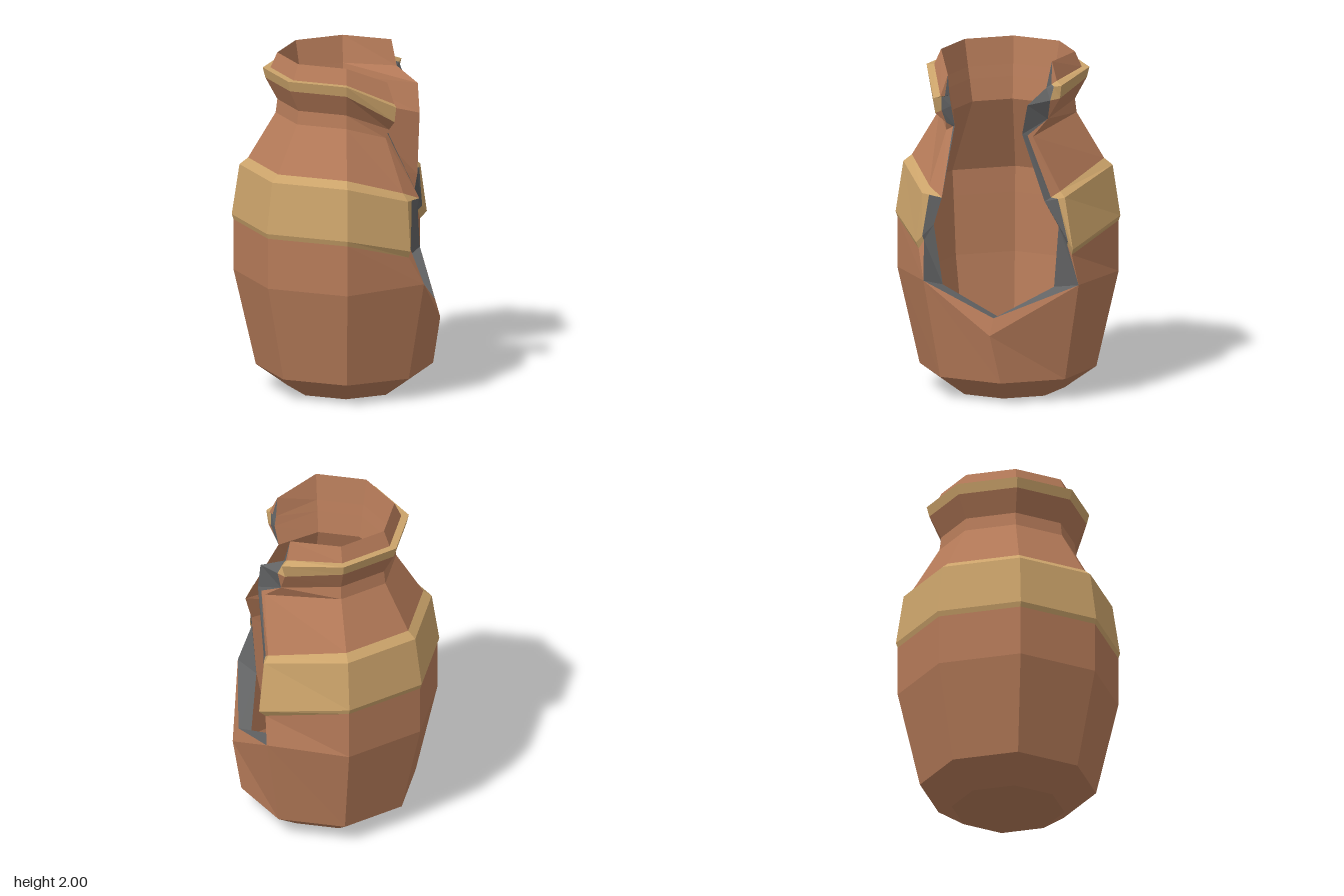
import * as THREE from 'three';

const CX = 0.05; // axis of the pot

// Point on an octagonal ring: k counts eighths of a turn from +x towards +z
const ringPoint = (r, y, k) => {
  const a = (k * Math.PI) / 4;
  return [CX + r * Math.cos(a), y, r * Math.sin(a)];
};
const mix = (a, b, t) => a.map((v, i) => v + (b[i] - v) * t);

// Collects flat faces into a faceted mesh
function facets(name, material, faces) {
  const pos = [];
  for (const f of faces) {
    for (let i = 1; i < f.length - 1; i++) pos.push(...f[0], ...f[i], ...f[i + 1]);
  }
  const g = new THREE.BufferGeometry();
  g.setAttribute('position', new THREE.Float32BufferAttribute(pos, 3));
  g.computeVertexNormals();
  const mesh = new THREE.Mesh(g, material);
  mesh.name = name;
  return mesh;
}

// Faces between two rows of points; the rows run from +x towards +z
function strip(lower, upper, inward = false) {
  const out = [];
  for (let i = 0; i < lower.length - 1; i++) {
    const q = [lower[i], upper[i], upper[i + 1], lower[i + 1]];
    out.push(inward ? q.reverse() : q);
  }
  return out;
}

export function createModel() {
  const clay = new THREE.MeshStandardMaterial({ color: 0xb67b59 });
  clay.name = 'clay';
  const gold = new THREE.MeshStandardMaterial({ color: 0xcba36a });
  gold.name = 'ochre band';
  const grey = new THREE.MeshStandardMaterial({ color: 0x626364, side: THREE.DoubleSide });
  grey.name = 'broken edge';

  // Outer levels: radius, height, broken end at the front, broken end at the back
  const outer = [
    [0.645, 0.70, [0.50, 0.72, 0.455], [0.50, 0.71, -0.45]],
    [0.645, 1.00, [0.41, 0.89, 0.49], [0.50, 0.89, -0.41]],
    [0.655, 1.03, [0.42, 0.93, 0.505], [0.54, 0.93, -0.42]],
    [0.61, 1.33, [0.405, 1.22, 0.47], [0.50, 1.23, -0.37]],
    [0.56, 1.37, [0.38, 1.26, 0.43], [0.47, 1.26, -0.34]],
    [0.40, 1.64, [0.28, 1.57, 0.34], [0.46, 1.58, -0.18]],
    [0.39, 1.72, [0.30, 1.62, 0.34], [0.38, 1.67, -0.26]],
    [0.46, 1.85, [0.33, 1.68, 0.40], [0.37, 1.79, -0.33]],
    [0.475, 1.91, [0.34, 1.77, 0.41], [0.39, 1.87, -0.34]],
    [0.43, 1.91, [0.33, 1.78, 0.37], [0.35, 1.89, -0.31]],
    [0.39, 2.00, [0.29, 1.90, 0.33], [0.33, 2.00, -0.28]],
  ];
  // Inner levels, ending at the shared rim
  const inner = [
    [0.47, 0.70, [0.41, 0.68, 0.35], [0.42, 0.68, -0.30]],
    [0.49, 1.05, [0.43, 1.04, 0.40], [0.46, 1.05, -0.33]],
    [0.50, 1.20, [0.475, 1.21, 0.35], [0.48, 1.20, -0.25]],
    [0.32, 1.64, [0.29, 1.60, 0.29], [0.49, 1.60, -0.12]],
    [0.345, 1.77, [0.31, 1.72, 0.31], [0.48, 1.77, -0.15]],
    [0.36, 1.84, [0.30, 1.78, 0.32], [0.36, 1.85, -0.25]],
    outer[10],
  ];
  const openRow = ([r, y, front, back]) =>
    [front, ...[2, 3, 4, 5, 6].map((k) => ringPoint(r, y, k)), back];
  const fullRow = (r, y) => [...Array(9).keys()].map((i) => ringPoint(r, y, i + 1));
  const outRows = outer.map(openRow);
  const inRows = inner.map(openRow);

  const group = new THREE.Group();
  group.name = 'brokenPot';
  const wall = (name, mat, from, to) => {
    const faces = [];
    for (let i = from; i < to; i++) faces.push(...strip(outRows[i], outRows[i + 1]));
    group.add(facets(name, mat, faces));
  };

  // Foot and lower body; the vertex on the broken side is chipped low
  const foot = fullRow(0.33, 0);
  const belly = fullRow(0.515, 0.13);
  const chip = [0.605, 0.42, 0.06];
  const lip = [0.575, 0.52, 0.04];
  const [frontEnd, backEnd] = [outRows[0][0], outRows[0][6]];
  group.add(facets('foot', clay, [foot.slice(0, 8), ...strip(foot, belly)]));
  group.add(facets('lowerBody', clay, [
    ...strip(belly.slice(0, 7), outRows[0]),
    ...strip([belly[6], belly[7], belly[8]], [backEnd, chip, frontEnd]),
    [chip, lip, frontEnd],
    [chip, backEnd, lip],
  ]));

  // Walls and painted bands up to the rim
  wall('upperBody', clay, 0, 1);
  wall('shoulderBand', gold, 1, 4);
  wall('neck', clay, 4, 7);
  wall('rimBand', gold, 7, 9);
  wall('rim', clay, 9, 10);

  // Inside: pointed floor and facing walls
  const floorRow = fullRow(0.42, 0.33);
  floorRow[7] = [0.51, 0.50, -0.01];
  const tip = Array(9).fill([CX, 0.14, 0]);
  group.add(facets('insideFloor', clay, [
    ...strip(tip, floorRow, true),
    ...strip(floorRow.slice(0, 7), inRows[0], true),
    [floorRow[7], floorRow[8], inRows[0][0]],
    [floorRow[7], inRows[0][6], floorRow[6]],
  ]));
  const insideFaces = [];
  for (let i = 0; i < 6; i++) insideFaces.push(...strip(inRows[i], inRows[i + 1], true));
  group.add(facets('insideWall', clay, insideFaces));

  // Broken edges: each outer level is joined to an inner level, and the outer
  // share of the thickness keeps the colour of the wall or band it ends
  const partner = [0, 1, 1, 2, 2, 3, 3, 4, 5, 5, 6];
  const trim = [clay, gold, gold, gold, clay, clay, clay, gold, gold, clay];
  const sides = [
    ['front', 0, [0, 0.35, 0.35, 0.35, 1, 0.8, 0, 0.4, 0.5, 0.5, 1]],
    ['back', 6, [0, 0.35, 0.35, 0.35, 0.6, 0.5, 0, 0.3, 0.5, 0.5, 1]],
  ];
  for (const [side, col, share] of sides) {
    const faces = new Map([[clay, []], [gold, []], [grey, []]]);
    const rows = outRows.map((row, i) => {
      const inside = inRows[partner[i]][col];
      return [row[col], mix(row[col], inside, share[i]), inside];
    });
    for (let i = 0; i < 10; i++) {
      const [painted, broken] = strip(rows[i], rows[i + 1], col === 0);
      faces.get(trim[i]).push(painted);
      faces.get(grey).push(broken);
    }
    // Bottom of the gap
    faces.get(grey).push([lip, outRows[0][col], inRows[0][col], floorRow[7]]);
    group.add(facets(side + 'WallEnd', clay, faces.get(clay)));
    group.add(facets(side + 'BandEnd', gold, faces.get(gold)));
    group.add(facets(side + 'BrokenEdge', grey, faces.get(grey)));
  }
  return group;
}
